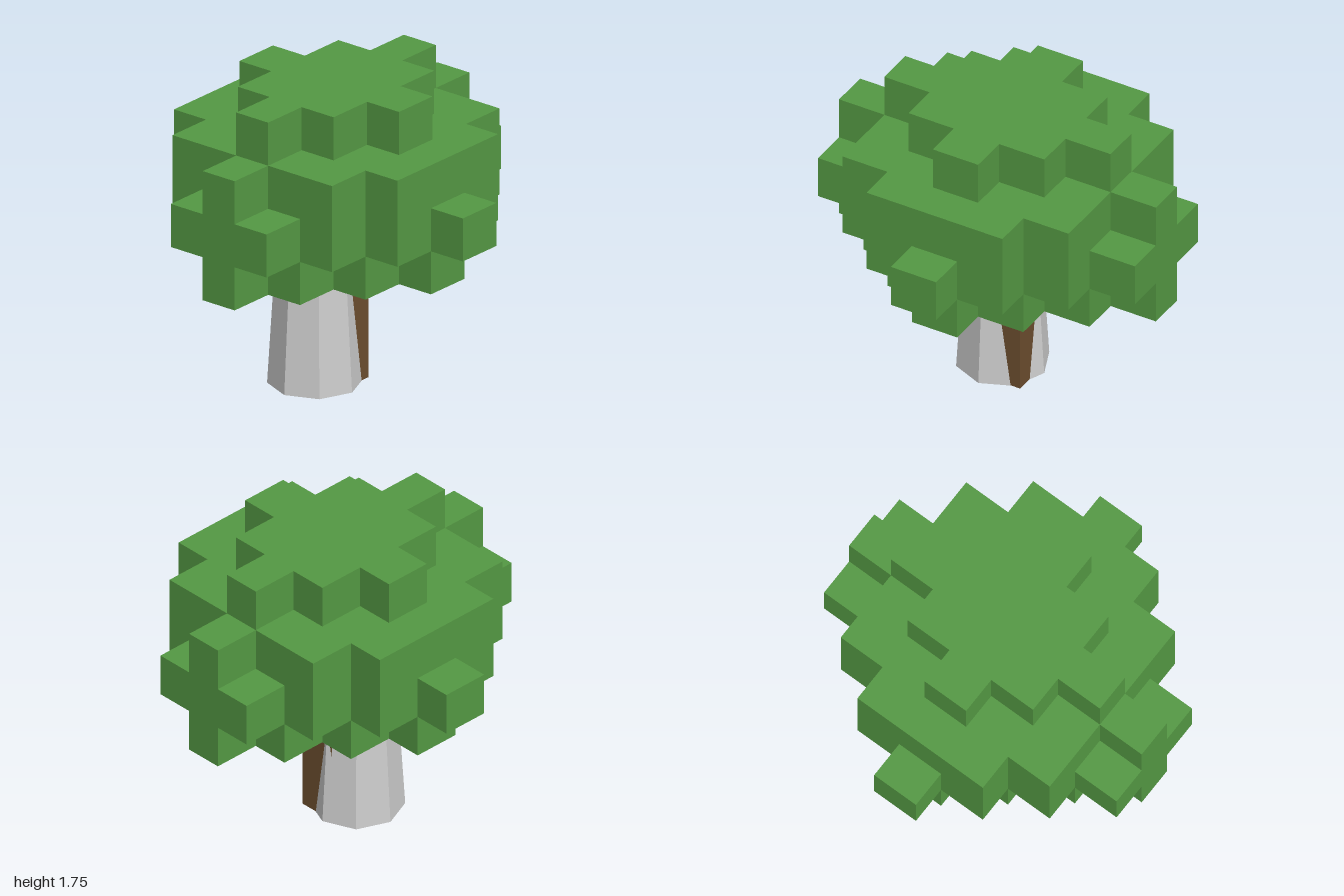
import * as THREE from 'three';

// Size of one foliage block
const CX = 2 / 9, CY = 0.25, CZ = 0.2813;

// Foliage layers, bottom up: half-width in blocks of each row, from the middle row outwards
const LAYERS = [
  [3, 2, 1, 0],
  [4, 3, 2, 1],
  [3, 3, 2, 0],
  [2, 1, 0],
];

// Stepped outline of one layer, symmetric in x and z
function layerShape(rows) {
  const right = [];
  const n = rows.length - 1;
  for (let k = -n; k <= n; k++) {
    const x = (rows[Math.abs(k)] + 0.5) * CX;
    for (const z of [(k - 0.5) * CZ, (k + 0.5) * CZ]) {
      const last = right[right.length - 1];
      if (!last || last.x !== x || last.y !== z) right.push(new THREE.Vector2(x, z));
    }
  }
  const left = right.map((p) => new THREE.Vector2(-p.x, p.y)).reverse();
  return new THREE.Shape([...right, ...left]);
}

export function createModel() {
  const leafGreen = new THREE.MeshStandardMaterial({ color: 0x549843 });
  const barkBrown = new THREE.MeshStandardMaterial({ color: 0x6b4d2e });
  const paleGrey = new THREE.MeshStandardMaterial({ color: 0xcccccc });
  leafGreen.name = 'leafGreen';
  barkBrown.name = 'barkBrown';
  paleGrey.name = 'paleGrey';
  paleGrey.flatShading = true;

  const tree = new THREE.Group();
  tree.name = 'tree';

  // Blocky crown
  const crown = new THREE.Group();
  crown.name = 'crown';
  LAYERS.forEach((rows, i) => {
    const geo = new THREE.ExtrudeGeometry(layerShape(rows), { depth: CY, bevelEnabled: false });
    geo.rotateX(-Math.PI / 2);
    const layer = new THREE.Mesh(geo, leafGreen);
    layer.name = `foliageLayer${i + 1}`;
    layer.position.y = 0.75 + i * CY;
    crown.add(layer);
  });
  tree.add(crown);

  // Square trunk, its foot just above the base of the sleeve
  const trunk = new THREE.Mesh(new THREE.BoxGeometry(CX, 0.748, CZ), barkBrown);
  trunk.name = 'trunk';
  trunk.position.y = 0.376;
  tree.add(trunk);

  // Off-centre tapered octagonal sleeve; one trunk corner pokes out of it
  const sleeve = new THREE.Mesh(new THREE.CylinderGeometry(0.221, 0.258, 0.612, 8), paleGrey);
  sleeve.name = 'trunkSleeve';
  sleeve.position.set(-0.08, 0.306, 0.08);
  tree.add(sleeve);

  return tree;
}
